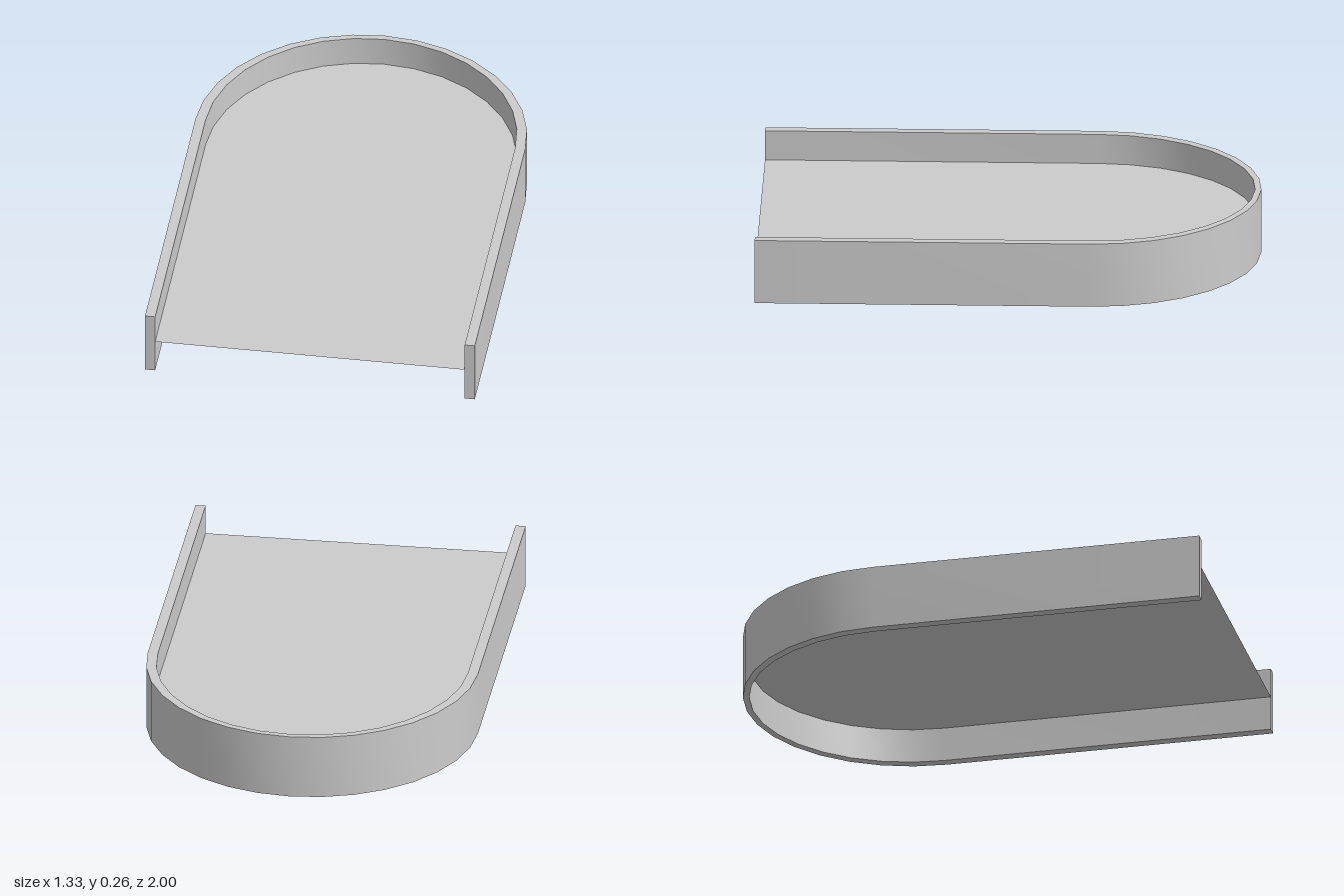
import * as THREE from 'three';
import { toCreasedNormals } from 'three/addons/utils/BufferGeometryUtils.js';

const HEIGHT = 0.265, FLOOR_Y = 0.142;
const FRONT_Z = 1, ARC_Z = -0.335, SEGMENTS = 16;

// U-shaped outline, from the front right corner round the back to the front left;
// shape y is -z of the model
function arch(rx, rz) {
  const points = [new THREE.Vector2(rx, -FRONT_Z)];
  for (let i = 0; i <= SEGMENTS; i++) {
    const a = (Math.PI * i) / SEGMENTS;
    points.push(new THREE.Vector2(rx * Math.cos(a), -ARC_Z + rz * Math.sin(a)));
  }
  points.push(new THREE.Vector2(-rx, -FRONT_Z));
  return points;
}

export function createModel() {
  const group = new THREE.Group();
  group.name = 'archedTray';
  const outer = arch(0.665, 0.665);
  const inner = arch(0.624, 0.64);

  // Upright wall around the sides and the rounded back, open at the front
  const wallShape = new THREE.Shape([...outer, ...inner.slice().reverse()]);
  let wallGeometry = new THREE.ExtrudeGeometry(wallShape, { depth: HEIGHT, bevelEnabled: false });
  wallGeometry.rotateX(-Math.PI / 2);
  wallGeometry = toCreasedNormals(wallGeometry, 0.6);
  const wall = new THREE.Mesh(wallGeometry, new THREE.MeshStandardMaterial({ color: 0xcccccc }));
  wall.name = 'wall';
  group.add(wall);

  // Thin floor panel at mid-height, filling the inside of the wall
  const floorGeometry = new THREE.ShapeGeometry(new THREE.Shape(inner));
  floorGeometry.rotateX(-Math.PI / 2);
  const floor = new THREE.Mesh(
    floorGeometry,
    new THREE.MeshStandardMaterial({ color: 0xcccccc, side: THREE.DoubleSide })
  );
  floor.position.y = FLOOR_Y;
  floor.name = 'floor';
  group.add(floor);

  return group;
}
